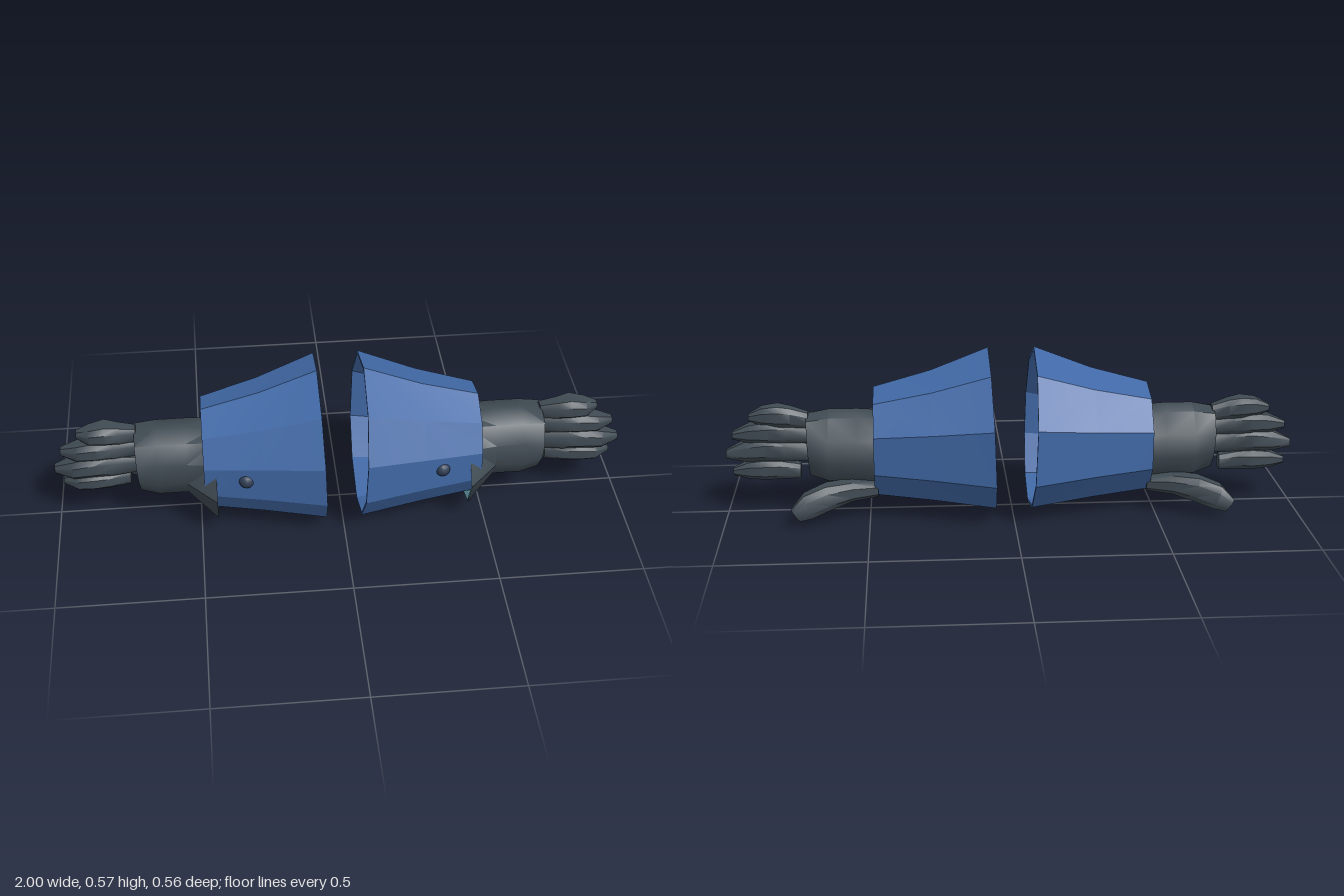
import * as THREE from 'three';
import { toCreasedNormals } from 'three/addons/utils/BufferGeometryUtils.js';

const blue = new THREE.MeshStandardMaterial({ name: 'cuff blue', color: 0x4169a6 });
const grey = new THREE.MeshStandardMaterial({ name: 'glove grey', color: 0x3f4a52 });
const navy = new THREE.MeshStandardMaterial({ name: 'stud navy', color: 0x2f3d55 });
const teal = new THREE.MeshStandardMaterial({ name: 'lining teal', color: 0x5f93a3, side: THREE.DoubleSide });

// Skin a list of rings of [x, y, z] points; side = -1 mirrors in x
function loft(rings, side, crease, capStart = true, capEnd = true) {
  const n = rings[0].length, pos = [], index = [];
  const add = (p) => pos.push(side * p[0], p[1], p[2]) / 3 - 1;
  const tri = (a, b, c) => (side > 0 ? index.push(a, b, c) : index.push(a, c, b));
  rings.forEach((ring) => ring.forEach(add));
  for (let i = 0; i < rings.length - 1; i++) {
    for (let j = 0; j < n; j++) {
      const k = (j + 1) % n, a = i * n + j, b = i * n + k;
      tri(a, a + n, b);
      tri(b, a + n, b + n);
    }
  }
  const cap = (i, atEnd) => {
    const mid = [0, 1, 2].map((c) => rings[i].reduce((s, p) => s + p[c] / n, 0));
    const m = add(mid);
    for (let j = 0; j < n; j++) {
      const a = i * n + j, b = i * n + ((j + 1) % n);
      if (atEnd) tri(m, b, a); else tri(m, a, b);
    }
  };
  if (capStart) cap(0, false);
  if (capEnd) cap(rings.length - 1, true);
  const g = new THREE.BufferGeometry();
  g.setAttribute('position', new THREE.Float32BufferAttribute(pos, 3));
  g.setIndex(index);
  return toCreasedNormals(g, crease);
}

// Ring from [z, y] pairs at one x, with an optional lean by height
const section = (x, zy, lean = 0) => zy.map(([z, y]) => [x + lean * y, y, z]);
// Shrink a ring around its middle
const inset = (ring, k, cy, cz) => ring.map(([x, y, z]) => [x, cy + (y - cy) * k, cz + (z - cz) * k]);
// Eight-sided chamfered ring between limits, top first
function block(x, y0, y1, z0, z1, lean = 0) {
  const cy = (y0 + y1) / 2, cz = (z0 + z1) / 2, hy = (y1 - y0) / 2, hz = (z1 - z0) / 2;
  return [[-0.6, 1], [-1, 0.5], [-1, -0.5], [-0.6, -1], [0.6, -1], [1, -0.5], [1, 0.5], [0.6, 1]]
    .map(([a, b]) => [x + lean * b, cy + hy * b, cz + hz * a]);
}

// Ten-sided flared cuff outlines as [z, y]
const wide = [[0.03, 0.575], [-0.16, 0.52], [-0.28, 0.36], [-0.27, 0.16], [-0.155, 0.045],
  [0.03, 0], [0.18, 0.05], [0.275, 0.18], [0.283, 0.34], [0.2, 0.495]];
const narrow = [[0.03, 0.44], [-0.09, 0.41], [-0.162, 0.31], [-0.154, 0.175], [-0.08, 0.08],
  [0.03, 0.05], [0.11, 0.08], [0.172, 0.175], [0.178, 0.29], [0.13, 0.385]];
const middle = wide.map(([z, y], i) => [
  z * 0.45 + narrow[i][0] * 0.55, y * 0.42 + narrow[i][1] * 0.58]);

// Glove body outlines as [z, y]
const flare = [[0.03, 0.355], [-0.05, 0.345], [-0.1, 0.28], [-0.11, 0.2], [-0.07, 0.12],
  [0.03, 0.03], [0.165, 0.065], [0.23, 0.185], [0.165, 0.295], [0.1, 0.345]];
const wrist = [[0.02, 0.365], [-0.05, 0.35], [-0.1, 0.28], [-0.11, 0.2], [-0.07, 0.13],
  [0.02, 0.105], [0.09, 0.13], [0.135, 0.2], [0.13, 0.28], [0.09, 0.34]];
const knuckles = [[0.02, 0.35], [-0.05, 0.34], [-0.095, 0.28], [-0.095, 0.21], [-0.05, 0.145],
  [0.02, 0.125], [0.075, 0.14], [0.12, 0.21], [0.125, 0.27], [0.085, 0.335]];

// Fingers: base x, tip x, base y, knuckle y, tip y, half height, z shift
const fingers = [
  [0.71, 0.915, 0.333, 0.35, 0.345, 0.036, 0],
  [0.71, 0.975, 0.28, 0.29, 0.28, 0.037, 0.005],
  [0.71, 1.0, 0.215, 0.228, 0.21, 0.041, 0.01],
  [0.74, 0.975, 0.15, 0.157, 0.15, 0.034, -0.002],
];
// Along each finger: position, height factor, back z, front z
const fingerShape = [[0, 0.75, -0.025, 0.025], [0.3, 0.95, -0.027, 0.045], [0.52, 1, -0.04, 0.056],
  [0.78, 0.85, -0.025, 0.052], [1, 0.35, -0.012, 0.018]];

function makeArm(side) {
  const arm = new THREE.Group();
  arm.name = side > 0 ? 'leftArm' : 'rightArm';
  const add = (name, geometry, material) => {
    const mesh = new THREE.Mesh(geometry, material);
    mesh.name = name;
    arm.add(mesh);
    return mesh;
  };

  // Cuff: outer skin, rims and inner skin in one closed loop
  const outer = [section(0.06, wide, 0.035), section(0.28, middle), section(0.482, narrow)];
  const inner = outer.map((r, i) => inset(r, [0.965, 0.97, 0.98][i], 0.26, 0.02)).reverse();
  add('cuff', loft([...outer, ...inner, outer[0]], side, 0.25, false, false), blue);

  // Stud on the front of the cuff
  const stud = add('stud', new THREE.SphereGeometry(0.027, 12, 8), navy);
  stud.position.set(side * 0.338, 0.253, 0.2);

  // Glove body with its flared opening and inner lining
  const glove = [section(0.44, flare), section(0.54, wrist), section(0.64, wrist),
    section(0.697, knuckles, 0.055)];
  add('gloveBody', loft(glove, side, 0.75, false, true), grey);
  const lining = glove.slice(0, 3).map((r) => inset(r, 0.965, 0.23, 0.02));
  add('gloveLining', loft(lining, side, 0.75, false, true), teal);

  // Four fingers
  fingers.forEach(([x0, x1, yBase, yMid, yTip, half, dz], i) => {
    const rings = fingerShape.map(([t, h, z0, z1]) => {
      const y = t < 0.52 ? yBase + (yMid - yBase) * (t / 0.52) : yMid + (yTip - yMid) * ((t - 0.52) / 0.48);
      return block(x0 + (x1 - x0) * t, y - half * h, y + half * h, z0 + dz, z1 + dz);
    });
    add('finger' + (i + 1), loft(rings, side, 0.7), grey);
  });

  // Thumb angled down and to the back
  const thumb = [
    block(0.47, 0.075, 0.125, -0.105, -0.03),
    block(0.56, 0.068, 0.135, -0.135, -0.04),
    block(0.64, 0.05, 0.133, -0.165, -0.07, 0.01),
    block(0.71, 0.03, 0.11, -0.19, -0.11, 0.015),
    block(0.752, 0.024, 0.066, -0.193, -0.15, 0.015),
  ];
  add('thumb', loft(thumb, side, 0.7), grey);
  return arm;
}

export function createModel() {
  const model = new THREE.Group();
  model.name = 'gauntlets';
  model.add(makeArm(1), makeArm(-1));
  return model;
}
